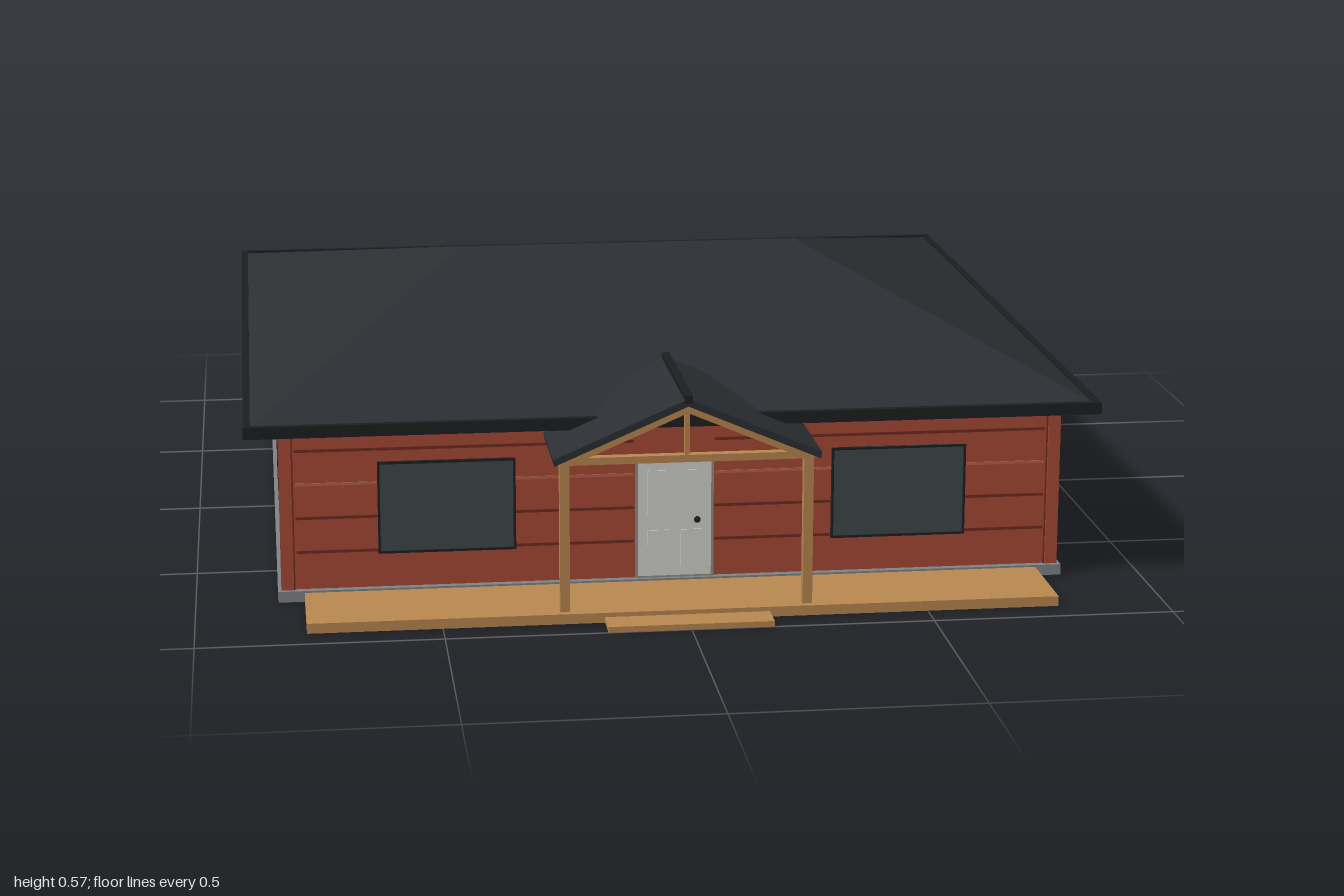
import * as THREE from 'three';

const mat = (color) => new THREE.MeshStandardMaterial({ color, flatShading: true });
const brick = mat(0xa84a36), groove = mat(0x6e2c20), pale = mat(0xb4604a);
const roofing = mat(0x2b2f33), trim = mat(0x1c1f21), wood = mat(0xb98850);
const glass = mat(0x3f474b), white = mat(0xd4d4ce), seam = mat(0x8f8f8a);
const concrete = mat(0x808486), dark = mat(0x3c3c3c);

// Box given by its lower and upper limits on each axis
function box(parent, name, material, [x0, x1], [y0, y1], [z0, z1]) {
  const mesh = new THREE.Mesh(new THREE.BoxGeometry(x1 - x0, y1 - y0, z1 - z0), material);
  mesh.position.set((x0 + x1) / 2, (y0 + y1) / 2, (z0 + z1) / 2);
  mesh.name = name;
  parent.add(mesh);
  return mesh;
}

// Extruded outline in the xy plane, running from z0 to z1
function slab(parent, name, material, points, z0, z1) {
  const shape = new THREE.Shape(points.map(([x, y]) => new THREE.Vector2(x, y)));
  const geo = new THREE.ExtrudeGeometry(shape, { depth: z1 - z0, bevelEnabled: false });
  const mesh = new THREE.Mesh(geo, material);
  mesh.position.z = z0;
  mesh.name = name;
  parent.add(mesh);
}

// Group on a wall face: local x runs along the wall, local z points outward
function wallFace(parent, name, x, z, angle) {
  const face = new THREE.Group();
  face.name = name;
  face.position.set(x, 0, z);
  face.rotation.y = angle;
  parent.add(face);
  return face;
}

function addWindow(face, x0, x1) {
  const g = new THREE.Group();
  g.name = 'window';
  const y0 = 0.098, y1 = 0.295, t = 0.005;
  box(g, 'windowPane', glass, [x0, x1], [y0, y1], [-0.005, 0.005]);
  for (const y of [y0, y1 - t]) box(g, 'windowFrame', trim, [x0, x1], [y, y + t], [0, 0.007]);
  for (const x of [x0, x1 - t]) box(g, 'windowFrame', trim, [x, x + t], [y0, y1], [0, 0.007]);
  face.add(g);
}

// Horizontal siding joints, split around an optional opening
function addSiding(face, half, gap) {
  const spans = gap ? [[-half, gap[0]], [gap[1], half]] : [[-half, half]];
  [0.105, 0.178, 0.25, 0.322].forEach((y, i) => {
    for (const span of spans)
      if (span[1] - span[0] > 0.02)
        box(face, 'sidingJoint', i === 2 ? pale : groove, span, [y - 0.003, y + 0.003], [-0.002, 0.002]);
  });
}

// Hipped roof: rectangular eave outline rising to a short ridge
function hipGeometry(ex, z0, z1, y, ridgeX, ridgeY, ridgeZ) {
  const a = [-ex, y, z1], b = [ex, y, z1], c = [ex, y, z0], d = [-ex, y, z0];
  const l = [-ridgeX, ridgeY, ridgeZ], r = [ridgeX, ridgeY, ridgeZ];
  const tris = [a, b, r, a, r, l, b, c, r, c, d, l, c, l, r, d, a, l, a, c, b, a, d, c];
  const geo = new THREE.BufferGeometry();
  geo.setAttribute('position', new THREE.Float32BufferAttribute(tris.flat(), 3));
  geo.computeVertexNormals();
  return geo;
}

export function createModel() {
  const house = new THREE.Group();
  house.name = 'house';

  // Base and walls
  box(house, 'foundation', concrete, [-0.83, 0.83], [0.002, 0.025], [-0.94, 0.73]);
  box(house, 'floorUnderside', dark, [-0.828, 0.828], [0, 0.004], [-0.938, 0.728]);
  box(house, 'walls', brick, [-0.815, 0.815], [0.025, 0.375], [-0.92, 0.715]);
  for (const sx of [-1, 1])
    for (const z of [-0.913, 0.708]) {
      const post = box(house, 'cornerBoard', brick, [-0.013, 0.013], [0.025, 0.372], [z - 0.013, z + 0.013]);
      post.position.x = sx * 0.81;
      for (const dx of [-0.015])
        box(house, 'cornerJoint', groove, [sx * 0.81 + sx * dx - 0.0015, sx * 0.81 + sx * dx + 0.0015],
          [0.025, 0.372], [z - 0.01, z + 0.01]);
    }

  // Front wall with two windows and the door
  const front = wallFace(house, 'frontWall', 0, 0.715, 0);
  addSiding(front, 0.79, [-0.085, 0.085]);
  addWindow(front, -0.62, -0.333);
  addWindow(front, 0.333, 0.62);
  const door = new THREE.Group();
  door.name = 'door';
  front.add(door);
  box(door, 'doorFrame', seam, [-0.083, 0.083], [0.025, 0.287], [-0.005, 0.006]);
  box(door, 'doorLeaf', white, [-0.077, 0.077], [0.03, 0.281], [0, 0.01]);
  for (const s of [-1, 1])
    for (const y of [[0.05, 0.13], [0.165, 0.26]])
      box(door, 'doorPanel', white, [s * 0.035 - 0.022, s * 0.035 + 0.022], y, [0.005, 0.012]);
  const knob = new THREE.Mesh(new THREE.SphereGeometry(0.007, 12, 8), trim);
  knob.name = 'doorKnob';
  knob.position.set(0.047, 0.152, 0.016);
  door.add(knob);

  // Side walls
  const right = wallFace(house, 'sideWall', 0.815, 0, Math.PI / 2);
  const left = wallFace(house, 'sideWall', -0.815, 0, -Math.PI / 2);
  for (const [face, s] of [[right, -1], [left, 1]]) {
    const inner = new THREE.Group();
    inner.position.x = s * -0.1025;
    face.add(inner);
    addSiding(inner, 0.79);
    addWindow(face, s < 0 ? -0.295 : 0.015, s < 0 ? -0.015 : 0.295);
  }

  // Back wall with the garage door
  const back = wallFace(house, 'backWall', 0, -0.92, Math.PI);
  addSiding(back, 0.79, [-0.78, -0.12]);
  addWindow(back, 0.2, 0.485);
  const garage = new THREE.Group();
  garage.name = 'garageDoor';
  back.add(garage);
  box(garage, 'garageFrame', seam, [-0.78, -0.12], [0.025, 0.325], [-0.005, 0.012]);
  box(garage, 'garageLeaf', white, [-0.768, -0.132], [0.025, 0.315], [0, 0.015]);
  for (let i = 1; i < 6; i++)
    box(garage, 'garageSeam', seam, [-0.755, -0.145], [0.025 + i * 0.048, 0.029 + i * 0.048], [0.01, 0.017]);

  // Main roof with eave boards
  box(house, 'soffit', trim, [-0.88, 0.88], [0.37, 0.388], [-0.99, 0.775]);
  const hip = new THREE.Mesh(hipGeometry(0.885, -0.995, 0.78, 0.386, 0.385, 0.575, -0.107), roofing);
  hip.name = 'mainRoof';
  house.add(hip);
  for (const z of [[-1, -0.985], [0.77, 0.785]]) box(house, 'eaveBoard', trim, [-0.893, 0.893], [0.368, 0.393], z);
  for (const x of [[-0.893, -0.878], [0.878, 0.893]]) box(house, 'eaveBoard', trim, x, [0.368, 0.393], [-1, 0.785]);

  // Deck and step
  box(house, 'deck', wood, [-0.775, 0.775], [0, 0.021], [0.725, 0.935]);
  box(house, 'step', wood, [-0.17, 0.17], [0, 0.012], [0.93, 1]);

  // Porch
  const porch = new THREE.Group();
  porch.name = 'porch';
  house.add(porch);
  slab(porch, 'porchRoof', roofing,
    [[-0.272, 0.333], [0, 0.45], [0.272, 0.333], [0.274, 0.347], [0, 0.466], [-0.274, 0.347]], 0.57, 0.935);
  box(porch, 'ridgeCap', trim, [-0.008, 0.008], [0.458, 0.474], [0.565, 0.942]);
  for (const s of [-1, 1]) {
    box(porch, 'porchPost', wood, [s * 0.25 - 0.01, s * 0.25 + 0.01], [0.02, 0.333], [0.9, 0.92]);
    box(porch, 'sideBeam', wood, [s * 0.25 - 0.009, s * 0.25 + 0.009], [0.322, 0.338], [0.715, 0.92]);
    slab(porch, 'rafter', wood,
      [[0, 0.435], [0, 0.449], [s * 0.262, 0.336], [s * 0.24, 0.332]], 0.902, 0.93);
  }
  box(porch, 'tieBeam', wood, [-0.26, 0.26], [0.33, 0.345], [0.9, 0.92]);
  box(porch, 'kingPost', wood, [-0.005, 0.005], [0.34, 0.44], [0.905, 0.918]);

  return house;
}
